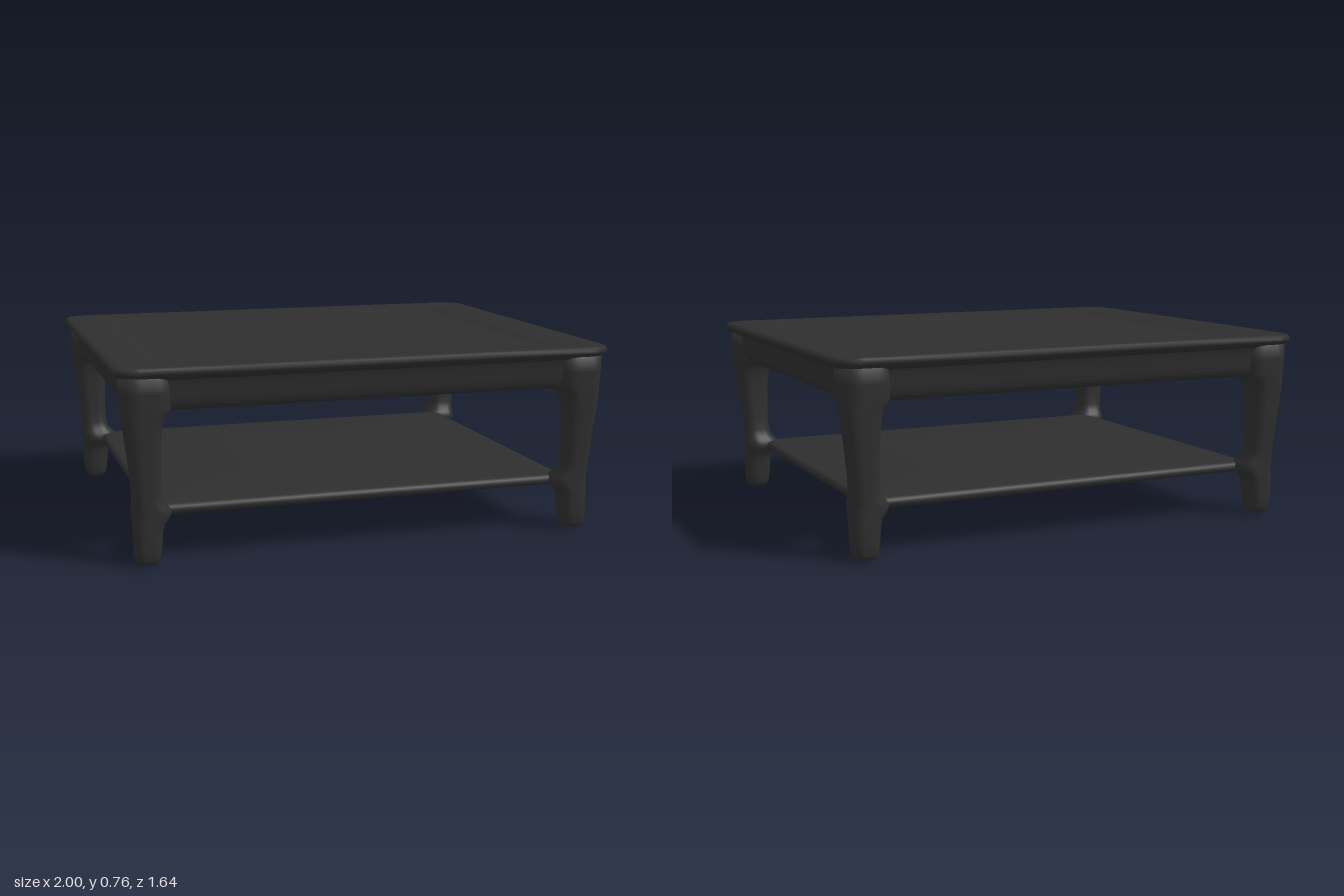
import * as THREE from 'three';

const lerp = THREE.MathUtils.lerp;

// One rounded-rectangle ring in the xz plane: half sizes hx, hz, corner radius r, height y.
function ring([hx, hz, r, y], cx, cz) {
  const pts = [], corner = 8, side = 4;
  const centres = [[1, 1], [-1, 1], [-1, -1], [1, -1]];
  const at = (k, i) => {
    const a = (k + i / corner) * Math.PI / 2;
    return [cx + centres[k % 4][0] * (hx - r) + Math.cos(a) * r, y,
      cz + centres[k % 4][1] * (hz - r) + Math.sin(a) * r];
  };
  for (let k = 0; k < 4; k++) {
    for (let i = 0; i <= corner; i++) pts.push(at(k, i));
    const a = at(k, corner), b = at(k + 1, 0);
    for (let i = 1; i < side; i++) pts.push(a.map((v, j) => lerp(v, b[j], i / side)));
  }
  return pts;
}

// Skins rings listed from top to bottom along the outside; caps close the first and last ring.
function loft(rings, caps = true, cx = 0, cz = 0) {
  const pos = [], index = [];
  let n = 0;
  for (const section of rings) {
    const pts = ring(section, section[4] ?? cx, section[5] ?? cz);
    n = pts.length;
    pos.push(...pts.flat());
  }
  for (let j = 0; j < rings.length - 1; j++) {
    for (let i = 0; i < n; i++) {
      const a = j * n + i, b = j * n + (i + 1) % n;
      index.push(a, b, a + n, b, b + n, a + n);
    }
  }
  if (caps) {
    const last = rings.length - 1;
    for (const [j, flip] of [[0, true], [last, false]]) {
      const s = rings[j], c = pos.length / 3;
      pos.push(s[4] ?? cx, s[3], s[5] ?? cz);
      for (let i = 0; i < n; i++) {
        const a = j * n + i, b = j * n + (i + 1) % n;
        if (flip) index.push(c, b, a);
        else index.push(c, a, b);
      }
    }
  }
  const geo = new THREE.BufferGeometry();
  geo.setAttribute('position', new THREE.Float32BufferAttribute(pos, 3));
  geo.setIndex(index);
  geo.computeVertexNormals();
  return geo;
}

export function createModel() {
  const group = new THREE.Group();
  const wood = new THREE.MeshStandardMaterial({ color: 0x2e2e2e });
  wood.name = 'dark wood';
  const add = (name, geo) => {
    const mesh = new THREE.Mesh(geo, wood);
    mesh.name = name;
    group.add(mesh);
  };

  // Top with a shallow sunken panel and a rounded lip
  add('tableTop', loft([
    [0.4, 0.3, 0.03, 0.738], [0.765, 0.6, 0.03, 0.738], [0.785, 0.62, 0.035, 0.739],
    [0.805, 0.64, 0.04, 0.745], [0.83, 0.665, 0.05, 0.752], [0.88, 0.71, 0.06, 0.757],
    [0.94, 0.765, 0.07, 0.76], [0.98, 0.798, 0.08, 0.759], [0.993, 0.811, 0.085, 0.754],
    [1, 0.818, 0.09, 0.743], [0.996, 0.814, 0.09, 0.732], [0.98, 0.8, 0.085, 0.718],
    [0.955, 0.78, 0.08, 0.706], [0.9, 0.72, 0.06, 0.702], [0.5, 0.4, 0.05, 0.702],
  ]));

  // Apron frame: outer face, rounded lower edge, inner face
  add('apron', loft([
    [0.962, 0.788, 0.08, 0.715], [0.952, 0.778, 0.08, 0.69], [0.947, 0.773, 0.08, 0.65],
    [0.942, 0.768, 0.08, 0.62], [0.932, 0.758, 0.075, 0.6], [0.915, 0.741, 0.07, 0.59],
    [0.89, 0.716, 0.06, 0.588], [0.868, 0.694, 0.05, 0.594], [0.855, 0.681, 0.045, 0.61],
    [0.85, 0.676, 0.04, 0.64], [0.85, 0.676, 0.04, 0.71],
  ], false));

  // Shelf: gently domed top, flat underside, rounded edges
  const shelf = [];
  for (let i = 1; i <= 10; i++) {
    const t = i / 10;
    shelf.push([0.84 * t, 0.68 * t, 0.04 * t, 0.217 + 0.034 * (1 - t * t)]);
  }
  shelf.push([0.852, 0.692, 0.045, 0.209], [0.856, 0.696, 0.045, 0.197],
    [0.852, 0.692, 0.045, 0.184], [0.838, 0.678, 0.04, 0.176], [0.8, 0.64, 0.04, 0.175], [0.4, 0.32, 0.02, 0.175]);
  add('shelf', loft(shelf));

  // Legs: [y, inner x, outer x, inner z, outer z], flaring into the apron and shelf
  const profile = [
    [0.72, 0.78, 0.973, 0.62, 0.803], [0.66, 0.78, 0.973, 0.62, 0.802], [0.6, 0.782, 0.97, 0.622, 0.799],
    [0.585, 0.79, 0.968, 0.63, 0.798], [0.57, 0.805, 0.966, 0.645, 0.797], [0.54, 0.817, 0.963, 0.657, 0.795],
    [0.48, 0.823, 0.956, 0.663, 0.79], [0.4, 0.827, 0.946, 0.665, 0.785], [0.32, 0.827, 0.937, 0.664, 0.78],
    [0.27, 0.824, 0.934, 0.661, 0.776], [0.24, 0.815, 0.933, 0.653, 0.775], [0.222, 0.797, 0.933, 0.636, 0.775],
    [0.2, 0.785, 0.933, 0.624, 0.775], [0.178, 0.797, 0.933, 0.636, 0.775], [0.16, 0.813, 0.933, 0.65, 0.775],
    [0.13, 0.822, 0.932, 0.658, 0.774], [0.07, 0.827, 0.931, 0.661, 0.773], [0.03, 0.832, 0.928, 0.665, 0.769],
    [0.012, 0.84, 0.919, 0.673, 0.759], [0.003, 0.852, 0.906, 0.686, 0.744], [0, 0.866, 0.892, 0.702, 0.728],
  ];
  for (const [name, sx, sz] of [['frontLeftLeg', 1, 1], ['frontRightLeg', -1, 1],
    ['backLeftLeg', 1, -1], ['backRightLeg', -1, -1]]) {
    const rings = profile.map(([y, x0, x1, z0, z1]) => {
      const hx = (x1 - x0) / 2, hz = (z1 - z0) / 2;
      return [hx, hz, Math.min(hx, hz) * 0.75, y, sx * (x0 + x1) / 2, sz * (z0 + z1) / 2];
    });
    add(name, loft(rings));
  }
  return group;
}
